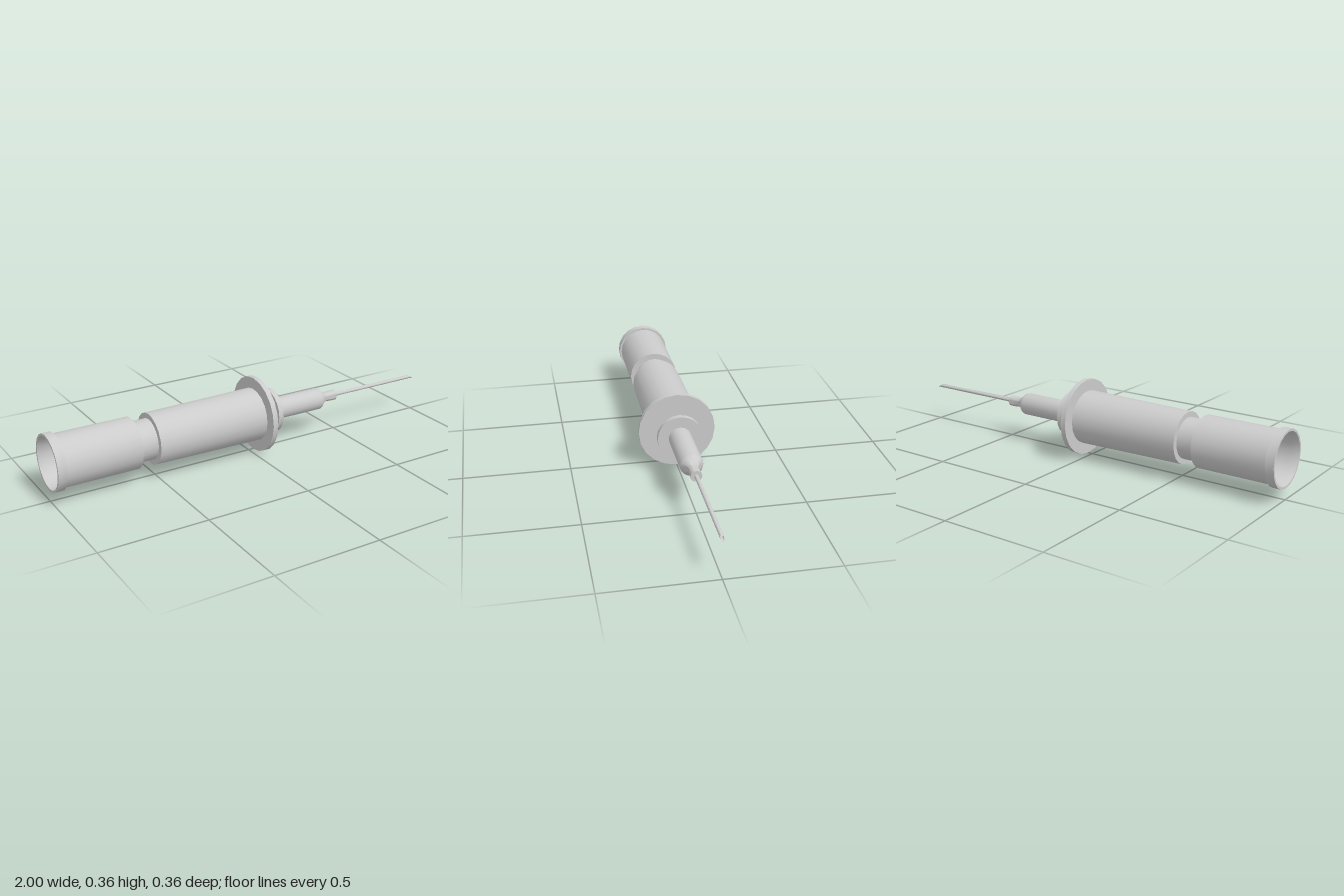
import * as THREE from 'three';
import { toCreasedNormals } from 'three/addons/utils/BufferGeometryUtils.js';

const AXIS_Y = 0.181;
const SIDES = 20;

export function createModel() {
  const model = new THREE.Group();
  const material = new THREE.MeshStandardMaterial({ color: 0xcccccc, side: THREE.DoubleSide });

  // Turns a profile of [x, radius] pairs around the long axis
  const turn = (profile, sides = SIDES) => {
    const points = profile.map(([x, r]) => new THREE.Vector2(r, x));
    return new THREE.LatheGeometry(points, sides).rotateZ(-Math.PI / 2);
  };
  const add = (name, geometry, crease = 0.7) => {
    const mesh = new THREE.Mesh(toCreasedNormals(geometry, crease), material);
    mesh.name = name;
    mesh.position.y = AXIS_Y;
    model.add(mesh);
  };

  // Hollow rear cap with a raised rim, open at the back
  add('rearCap', turn([
    [-0.62, 0], [-0.62, 0.11], [-0.96, 0.112], [-1, 0.12], [-1, 0.13],
    [-0.96, 0.13], [-0.96, 0.12], [-0.605, 0.12], [-0.605, 0],
  ]));

  // Thin link and collar between cap and barrel
  add('neck', turn([[-0.61, 0], [-0.61, 0.05], [-0.59, 0.05], [-0.59, 0]]));
  add('collar', turn([[-0.595, 0], [-0.595, 0.095], [-0.51, 0.095], [-0.51, 0]]));

  // Slightly widening barrel
  add('barrel', turn([[-0.52, 0], [-0.52, 0.12], [0.03, 0.127], [0.03, 0]]));

  // Large and small discs
  add('flange', turn([[0.025, 0], [0.025, 0.181], [0.05, 0.181], [0.05, 0]]));
  add('smallDisc', turn([[0.105, 0], [0.105, 0.105], [0.13, 0.105], [0.13, 0]]));

  // Hub with a rounded shoulder and slim nose
  add('hub', turn([
    [0.04, 0], [0.04, 0.053], [0.39, 0.053], [0.4, 0.05], [0.425, 0.028],
    [0.44, 0.023], [0.47, 0.026], [0.495, 0.026], [0.495, 0],
  ]), 0.9);

  // Hollow needle, its end sheared into a slanted point
  const outer = 0.009, inner = 0.006;
  const needle = turn([[0.48, inner], [0.48, outer], [1, outer], [1, inner], [0.48, inner]], 16);
  const p = needle.attributes.position;
  for (let i = 0; i < p.count; i++) {
    if (p.getX(i) > 0.9) p.setX(i, 1 - 0.03 * (p.getY(i) + outer) / (2 * outer));
  }
  add('needle', needle);

  return model;
}
